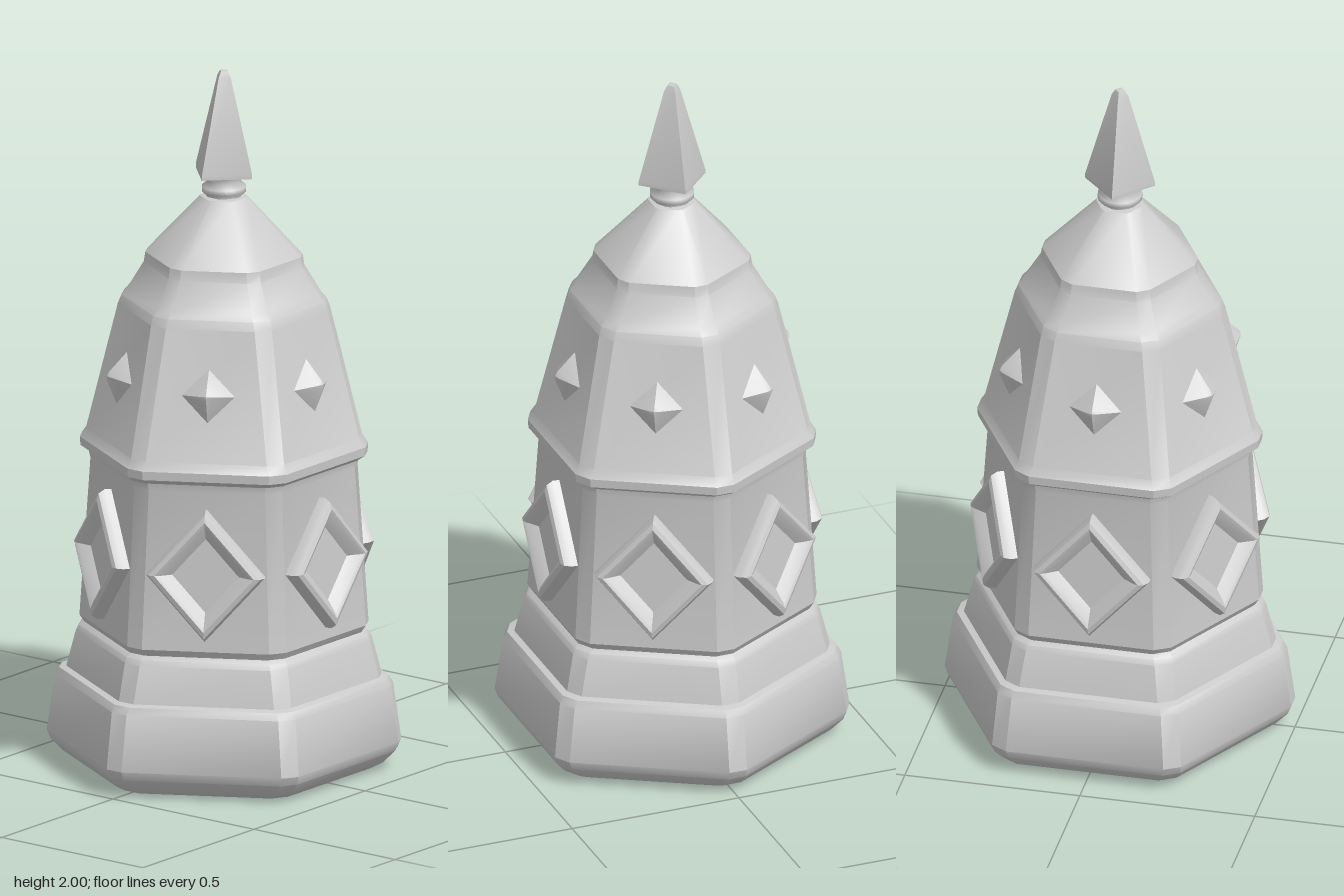
import * as THREE from 'three';
import { toCreasedNormals } from 'three/addons/utils/BufferGeometryUtils.js';

// Skin a list of closed rings (each an array of [x, y, z])
function loft(rings, crease = 0.5) {
  const n = rings[0].length, index = [];
  for (let j = 0; j < rings.length - 1; j++) {
    for (let i = 0; i < n; i++) {
      const a = j * n + i, b = j * n + (i + 1) % n;
      index.push(a, b, b + n, a, b + n, a + n);
    }
  }
  const g = new THREE.BufferGeometry();
  g.setAttribute('position', new THREE.Float32BufferAttribute(rings.flat(2), 3));
  g.setIndex(index);
  return toCreasedNormals(g, crease);
}

// Hexagon with slightly cut corners, corner points on the x axis
function hexRing([r, y]) {
  const ring = [], cut = Math.min(0.03, r * 0.1);
  const corner = (k) => [Math.cos(k * Math.PI / 3) * r, -Math.sin(k * Math.PI / 3) * r];
  for (let k = 0; k < 6; k++) {
    const c = corner(k);
    for (const o of [corner(k - 1), corner(k + 1)]) {
      const t = cut / r;
      ring.push([c[0] + (o[0] - c[0]) * t, y, c[1] + (o[1] - c[1]) * t]);
    }
  }
  return ring;
}

// Diamond outline in the xy plane at depth z
function diamondRing(w, h, s, z) {
  return [[w * s, 0, z], [0, h * s, z], [-w * s, 0, z], [0, -h * s, z]];
}

export function createModel() {
  const model = new THREE.Group();
  model.name = 'hexagonalTower';
  const stone = new THREE.MeshStandardMaterial({ color: 0xcccccc });
  stone.name = 'paleStone';

  const add = (name, geometry, parent = model) => {
    const mesh = new THREE.Mesh(geometry, stone);
    mesh.name = name;
    parent.add(mesh);
    return mesh;
  };

  // Tower shell: up the outside from the hollow underside to the roof
  const shell = [
    [0.001, 1.3], [0.2, 1.2], [0.31, 0.4], [0.345, 0.06], [0.36, 0.02], [0.385, 0.0],
    [0.43, 0.002], [0.465, 0.02], [0.5, 0.055], [0.51, 0.08], [0.487, 0.24], [0.475, 0.26],
    [0.455, 0.265], [0.428, 0.37], [0.42, 0.385], [0.405, 0.395], [0.418, 0.415],
    [0.387, 0.87], [0.392, 0.89], [0.415, 0.905], [0.417, 0.93], [0.4, 0.955],
    [0.31, 1.32], [0.3, 1.345], [0.282, 1.365], [0.235, 1.44], [0.23, 1.47],
    [0.07, 1.635], [0.001, 1.65],
  ];
  add('towerShell', loft(shell.map(hexRing)));

  // Round neck under the spike
  const neck = [[0, 1.61], [0.055, 1.62], [0.05, 1.64], [0.062, 1.65], [0.062, 1.665],
    [0.045, 1.68], [0.06, 1.7], [0.06, 1.715], [0, 1.715]];
  add('neck', new THREE.LatheGeometry(neck.map(([x, y]) => new THREE.Vector2(x, y)), 24));

  // Four-sided spike with a blunt tip
  const spike = [[0.001, 1.706], [0.1, 1.7], [0.1, 1.712], [0.024, 1.98], [0.014, 1.997], [0.001, 2]];
  add('spike', loft(spike.map(([r, y]) => [[r, y, 0], [0, y, -r], [-r, y, 0], [0, y, r]])));

  // One framed diamond and one stud on each of the six walls
  const frame = loft([[1, -0.02], [1, 0.022], [0.94, 0.04], [0.84, 0.045], [0.76, 0.04], [0.56, 0.015], [0.001, 0.015]]
    .map(([s, z]) => diamondRing(0.167, 0.187, s, z)));
  const stud = loft([[1.15, -0.01], [1, 0], [0.18, 0.042], [0.001, 0.046]]
    .map(([s, z]) => diamondRing(0.076, 0.076, s, z)));
  for (let k = 0; k < 6; k++) {
    const wall = new THREE.Group();
    wall.name = 'wallOrnaments';
    wall.rotation.y = k * Math.PI / 3;
    const f = add('diamondFrame', frame, wall);
    f.position.set(0, 0.635, 0.347);
    f.rotation.x = -0.06;
    const s = add('diamondStud', stud, wall);
    s.position.set(0, 1.14, 0.306);
    s.rotation.x = -0.21;
    model.add(wall);
  }
  return model;
}
